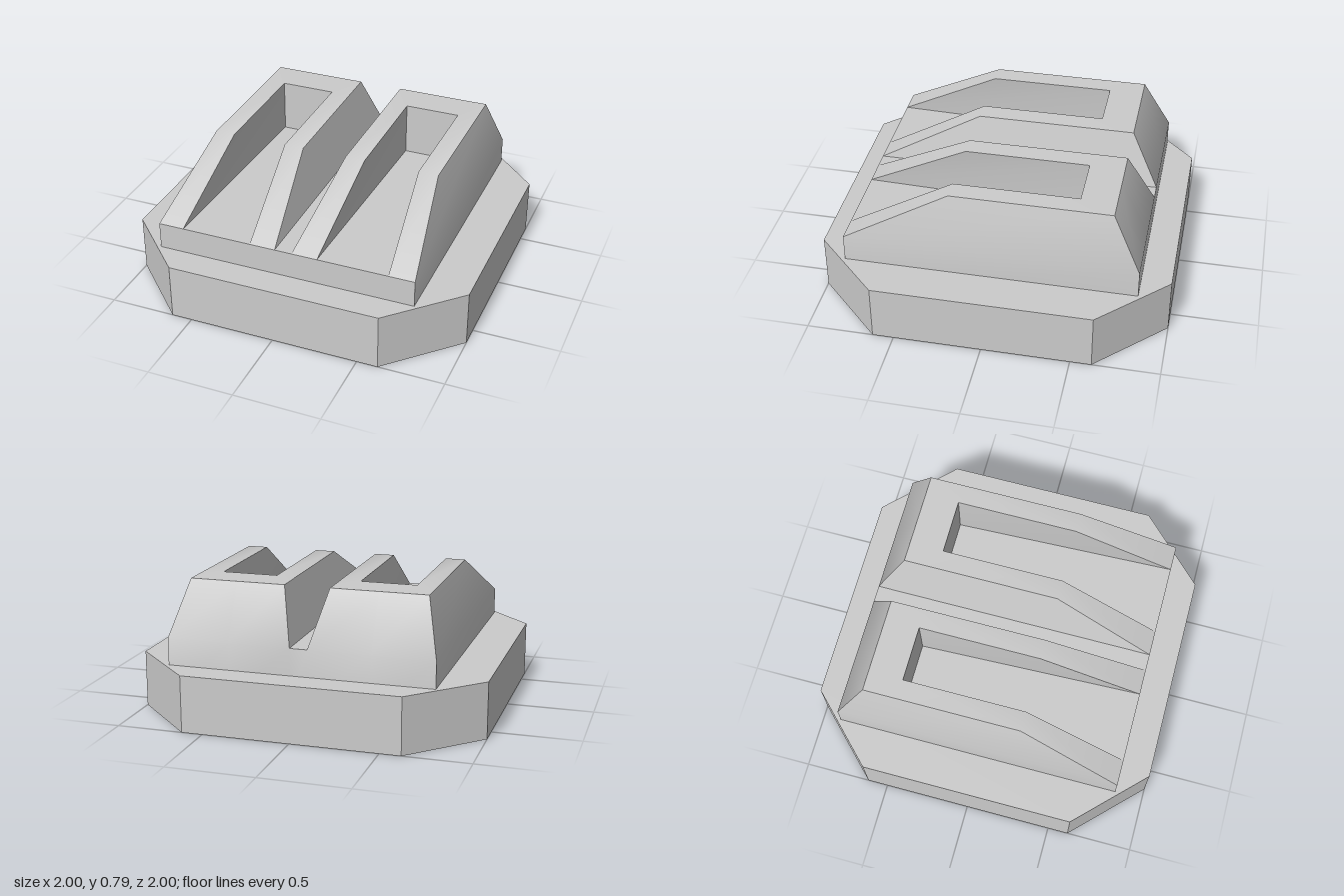
import * as THREE from 'three';
import { toCreasedNormals } from 'three/addons/utils/BufferGeometryUtils.js';

const material = new THREE.MeshStandardMaterial({ color: 0xcccccc, side: THREE.DoubleSide });

// Mesh from a list of four-cornered faces, creased above 30 degrees
function quadMesh(name, quads) {
  const pos = [];
  for (const [a, b, c, d] of quads) pos.push(...a, ...b, ...c, ...a, ...c, ...d);
  const geo = new THREE.BufferGeometry();
  geo.setAttribute('position', new THREE.Float32BufferAttribute(pos, 3));
  const mesh = new THREE.Mesh(toCreasedNormals(geo, Math.PI / 6), material);
  mesh.name = name;
  return mesh;
}

// Heights: base top, plinth bottom, plinth top, block top
const baseTop = 0.325, low = 0.17, y0 = 0.48, y1 = 0.79;
// Depths: plinth front/back, block top front/back, slot end
const zf = 0.83, zb = -0.83, tf = 0.24, tb = -0.67, slot = -0.47;
// Half widths of a block: foot, top, slot mouth, slot; and the block's centre
const W = 0.355, T = 0.275, S = 0.205, I = 0.16, centre = 0.405;

// One half of a block with the plinth walls below it
const halfBlock = [
  [[W, y0, zf], [W, y0, zb], [T, y1, tb], [T, y1, tf]],         // flank
  [[S, y0, zf], [W, y0, zf], [T, y1, tf], [I, y1, tf]],         // front slope
  [[I, y1, tf], [T, y1, tf], [T, y1, tb], [I, y1, slot]],       // top rail
  [[0, y1, slot], [I, y1, slot], [T, y1, tb], [0, y1, tb]],     // top bridge
  [[I, y0, slot], [S, y0, zf], [I, y1, tf], [I, y1, slot]],     // slot side
  [[0, y0, slot], [I, y0, slot], [I, y1, slot], [0, y1, slot]], // slot end
  [[W, y0, zb], [0, y0, zb], [0, y1, tb], [T, y1, tb]],         // back slope
  [[W, low, zb], [0, low, zb], [0, y0, zb], [W, y0, zb]],       // plinth back
  [[0, low, zf], [W, low, zf], [W, y0, zf], [0, y0, zf]],       // plinth front
];

function place(quad, mirror, shift) {
  const q = quad.map(([x, y, z]) => [mirror * x + shift, y, z]);
  return mirror < 0 ? q.reverse() : q;
}

function flatPanel(name, points, y) {
  const shape = new THREE.Shape(points.map(([x, z]) => new THREE.Vector2(x, -z)));
  const mesh = new THREE.Mesh(new THREE.ShapeGeometry(shape).rotateX(-Math.PI / 2), material);
  mesh.position.y = y;
  mesh.name = name;
  return mesh;
}

export function createModel() {
  const group = new THREE.Group();

  // Octagonal base, open underneath
  const c = 0.62;
  const ring = [[c, 1], [1, c], [1, -c], [c, -1], [-c, -1], [-1, -c], [-1, c], [-c, 1]];
  group.add(quadMesh('baseWall', ring.map(([x, z], i) => {
    const [u, w] = ring[(i + 1) % ring.length];
    return [[x, 0, z], [u, 0, w], [u, baseTop, w], [x, baseTop, z]];
  })));
  group.add(flatPanel('baseTop', ring, baseTop));

  // Plinth and the two slotted blocks
  const quads = [];
  for (const shift of [-centre, centre])
    for (const mirror of [-1, 1])
      for (const q of halfBlock) quads.push(place(q, mirror, shift));
  const g = centre - W, e = centre + W;
  const plinthSide = [[e, low, zf], [e, low, zb], [e, y0, zb], [e, y0, zf]];
  quads.push(place(plinthSide, 1, 0), place(plinthSide, -1, 0));
  quads.push([[-g, low, zf], [g, low, zf], [g, y0, zf], [-g, y0, zf]]);
  quads.push([[g, low, zb], [-g, low, zb], [-g, y0, zb], [g, y0, zb]]);
  group.add(quadMesh('slottedBlocks', quads));

  // Floor of the slots and of the channel between the blocks
  group.add(flatPanel('plinthTop', [[-e, zf], [e, zf], [e, zb], [-e, zb]], y0));
  return group;
}
